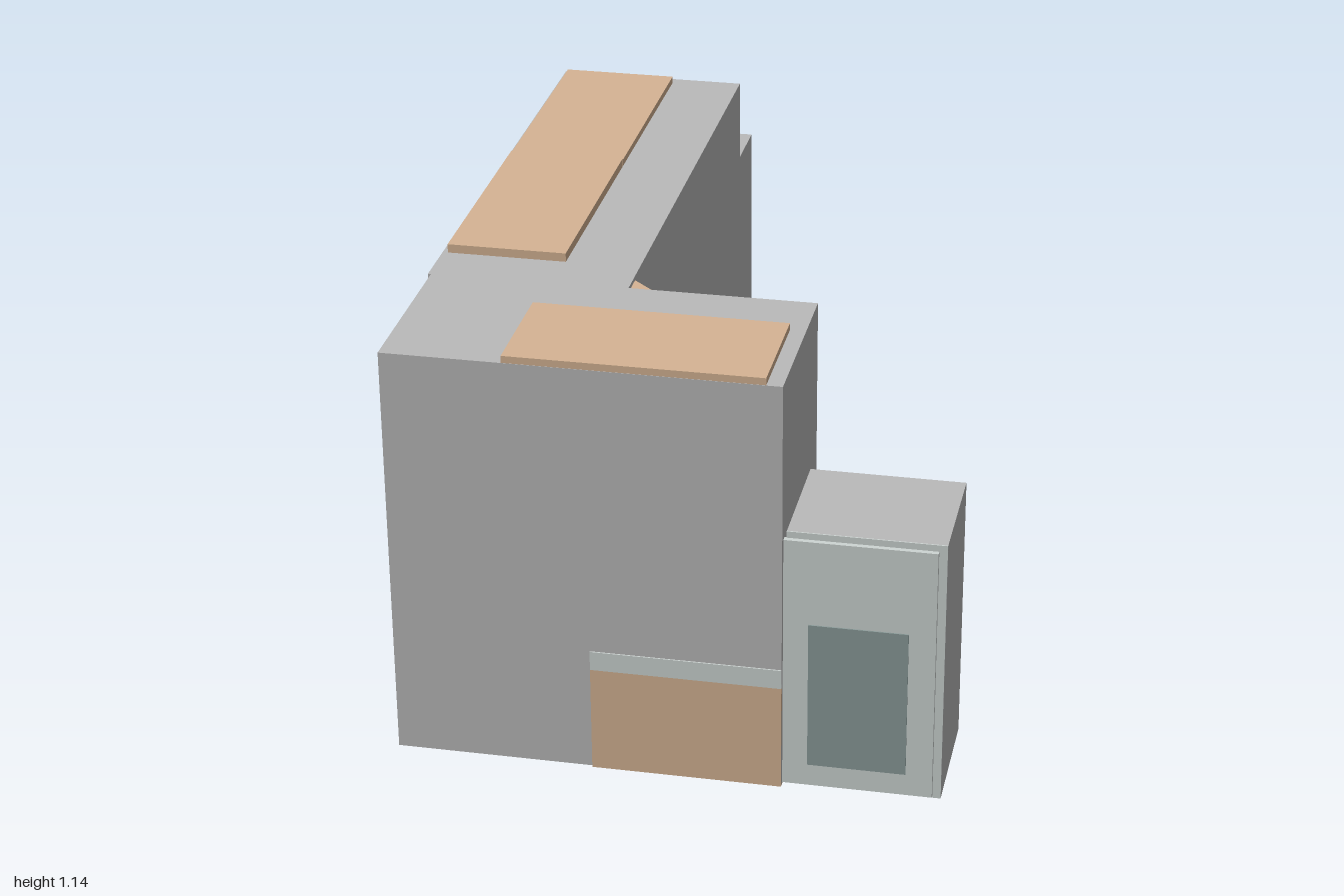
import * as THREE from 'three';

const mat = (name, color) => {
  const m = new THREE.MeshStandardMaterial({ color });
  m.name = name;
  return m;
};

export function createModel() {
  const g = new THREE.Group();
  g.name = 'kitchenUnits';
  const grey = mat('carcassGrey', 0xbababa);
  const wood = mat('wood', 0xd6b494);
  const pale = mat('paleWorktop', 0xced5d3);
  const glass = mat('darkGlass', 0x8b9c9a);
  const metal = mat('handleMetal', 0x858b8d);

  // Box given by its low and high corners
  const box = (name, material, x0, x1, y0, y1, z0, z1, parent = g) => {
    const m = new THREE.Mesh(new THREE.BoxGeometry(x1 - x0, y1 - y0, z1 - z0), material);
    m.position.set((x0 + x1) / 2, (y0 + y1) / 2, (z0 + z1) / 2);
    m.name = name;
    parent.add(m);
    return m;
  };

  // L-shaped run of units
  box('longRun', grey, -0.607, -0.158, 0.157, 1.12, -0.68, 0.59);
  box('shortRun', grey, -0.6, 0.26, 0.157, 1.12, 0.58, 0.997);

  // Wooden undersides of the base units
  box('baseUnderside', wood, -0.158, 0.26, 0.154, 0.158, 0.58, 0.997);
  for (const [z0, z1] of [[0.14, 0.56], [-0.68, -0.28]])
    box('baseUnderside', wood, -0.605, -0.158, 0.154, 0.158, z0, z1);

  // Wooden panels on top of the wall units
  box('topPanel', wood, -0.595, -0.325, 1.12, 1.14, -0.092, 0.47);
  box('topPanel', wood, -0.595, -0.325, 1.12, 1.136, -0.655, -0.096);
  box('topPanel', wood, -0.335, 0.225, 1.12, 1.136, 0.725, 0.996);

  // Exposed base unit and worktop edge on the front
  box('frontBase', wood, -0.16, 0.26, 0.155, 0.402, 0.993, 1);
  box('frontWorktopEdge', pale, -0.16, 0.26, 0.402, 0.447, 0.993, 1);

  // Base unit facing the inner corner
  box('innerDrawerFront', wood, -0.15, 0.255, 0.2, 0.405, 0.573, 0.581);
  box('innerWorktop', pale, -0.158, 0.256, 0.412, 0.432, 0.56, 0.581);
  box('innerPlinth', pale, -0.158, 0.256, 0.16, 0.192, 0.576, 0.581);
  box('innerHandle', metal, -0.1, -0.01, 0.355, 0.367, 0.562, 0.574);

  // Base unit on the back end
  box('backBase', wood, -0.6, -0.16, 0.155, 0.405, -0.694, -0.679);
  box('backWorktop', pale, -0.605, -0.16, 0.41, 0.43, -0.695, -0.679);
  box('backUpstand', pale, -0.57, -0.16, 0.43, 0.447, -0.695, -0.682);

  // Worktop edge and handle line on the long run
  box('sideWorktopEdge', pale, -0.16, -0.155, 0.41, 0.433, -0.28, 0.14);
  box('sideHandle', metal, -0.16, -0.153, 0.366, 0.374, -0.21, 0.07);

  // Pulled-out drawer
  box('drawerFront', wood, -0.1, -0.08, 0.335, 0.39, -0.67, -0.305);
  box('drawerBottom', wood, -0.16, -0.1, 0.335, 0.343, -0.655, -0.325);
  for (const z of [-0.655, -0.333])
    box('drawerSide', wood, -0.16, -0.1, 0.343, 0.382, z, z + 0.008);
  box('drawerHandle', metal, -0.08, -0.063, 0.36, 0.37, -0.525, -0.445);

  // Door below the drawer, swung ajar
  const door = new THREE.Group();
  door.name = 'openDoor';
  door.position.set(-0.158, 0.21, -0.38);
  door.rotation.y = -Math.atan2(0.06, 0.27) ;
  box('doorPanel', wood, -0.012, 0, 0, 0.124, -0.272, 0, door);
  box('doorHandle', metal, 0, 0.014, 0.088, 0.098, -0.235, -0.155, door);
  door.rotation.y *= 1;
  g.add(door);

  // Tapered corner cupboard door: triangle at the top shrinking downwards
  const top = [[-0.159, 0.515], [-0.159, 0.581], [-0.092, 0.577]];
  const low = [[-0.159, 0.541], [-0.159, 0.581], [-0.138, 0.577]];
  const pos = [];
  const put = (p, y) => pos.push(p[0], y, p[1]);
  for (let i = 0; i < 3; i++) {
    const j = (i + 1) % 3;
    put(low[i], 0.83); put(low[j], 0.83); put(top[j], 1.11);
    put(low[i], 0.83); put(top[j], 1.11); put(top[i], 1.11);
  }
  top.forEach(p => put(p, 1.11));
  [...low].reverse().forEach(p => put(p, 0.83));
  const wedge = new THREE.BufferGeometry();
  wedge.setAttribute('position', new THREE.Float32BufferAttribute(pos, 3));
  wedge.computeVertexNormals();
  const corner = new THREE.Mesh(wedge, wood);
  corner.name = 'cornerCupboardDoor';
  g.add(corner);

  // Appliance with a glazed front
  box('applianceBody', grey, 0.265, 0.606, 0.15, 0.772, 0.685, 0.97);
  box('applianceDoor', pale, 0.26, 0.588, 0.157, 0.757, 0.97, 0.984);
  box('applianceWindow', glass, 0.315, 0.53, 0.21, 0.558, 0.983, 0.987);
  // Pale rim around the appliance front
  box('applianceRim', pale, 0.265, 0.606, 0.15, 0.772, 0.969, 0.973);

  // Free-standing tall box behind
  box('tallBox', grey, -0.528, -0.19, 0, 0.855, -1, -0.74);

  return g;
}
